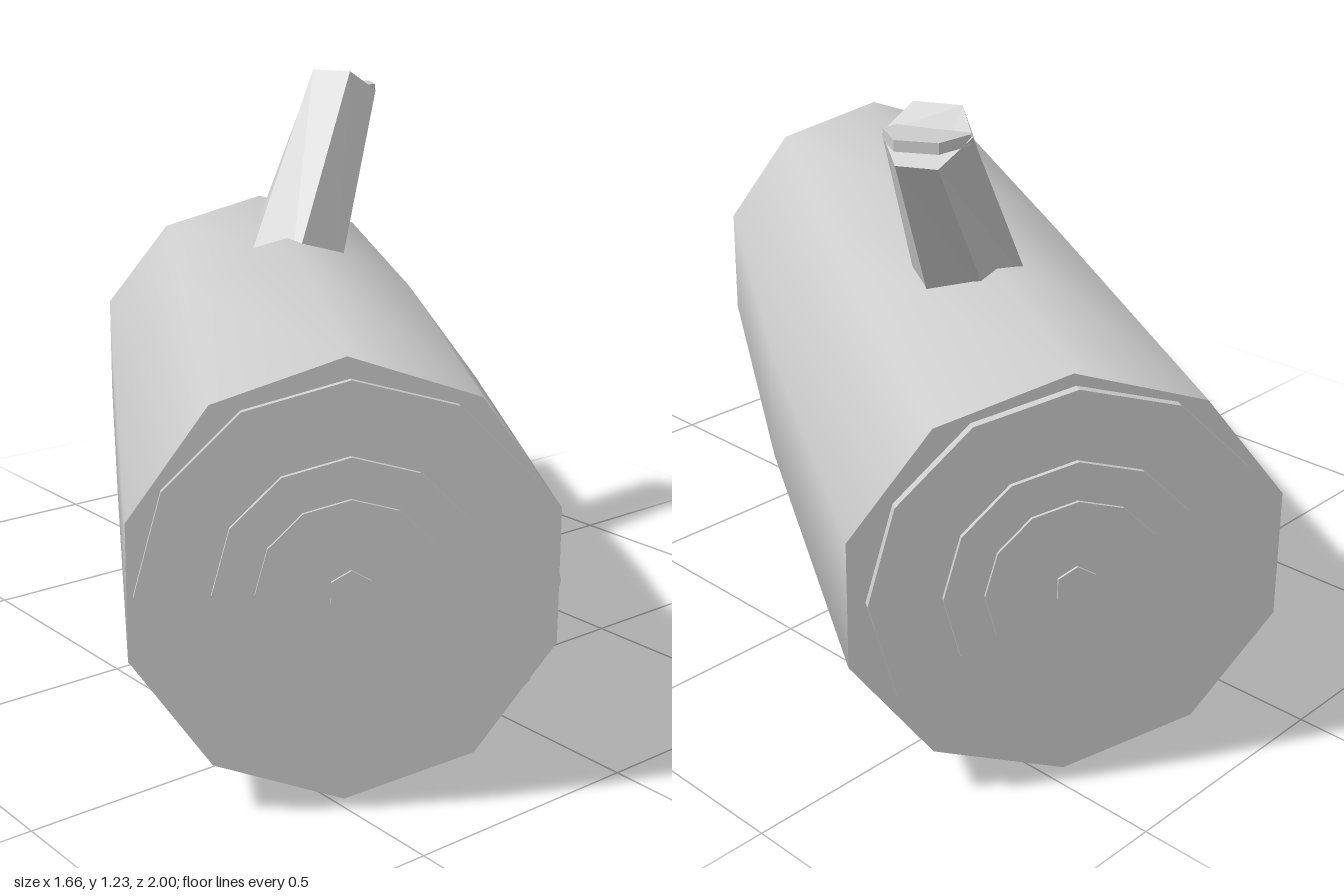
import * as THREE from 'three';

const wood = new THREE.MeshStandardMaterial({ color: 0xcccccc });
wood.name = 'plain grey wood';

// Joins equal-sized rings of points; rings run clockwise seen from the first end.
function loft(rings, flat) {
  const n = rings[0].length;
  const pos = rings.flat();
  const side = [];
  for (let r = 0; r < rings.length - 1; r++) {
    for (let i = 0; i < n; i++) {
      const a = r * n + i, b = r * n + (i + 1) % n;
      side.push(a, b, a + n, b, b + n, a + n);
    }
  }
  const caps = [];
  const last = (rings.length - 1) * n;
  for (let i = 1; i < n - 1; i++) {
    caps.push(0, i + 1, i, last, last + i, last + i + 1);
  }
  const make = (index, sharp) => {
    let g = new THREE.BufferGeometry();
    g.setAttribute('position', new THREE.Float32BufferAttribute(pos.flat(), 3));
    g.setIndex(index);
    if (sharp) g = g.toNonIndexed();
    g.computeVertexNormals();
    return g;
  };
  return [make(side, flat), make(caps, true)];
}

function addMesh(parent, geometry, name) {
  const mesh = new THREE.Mesh(geometry, wood);
  mesh.name = name;
  parent.add(mesh);
  return mesh;
}

export function createModel() {
  const model = new THREE.Group();
  model.name = 'log';

  // Trunk lies along its local z, turned in plan
  const trunk = new THREE.Group();
  trunk.name = 'trunk';
  trunk.rotation.y = -0.555;
  model.add(trunk);

  // Ten-sided trunk: [x, y, z, horizontal radius, vertical radius]
  const sections = [
    [-0.014, 0.44, 0.927, 0.411, 0.422],
    [0, 0.433, 0, 0.433, 0.433],
    [-0.003, 0.433, -0.916, 0.435, 0.413],
  ];
  const rings = sections.map(([x, y, z, rx, ry]) =>
    Array.from({ length: 10 }, (_, i) => {
      const a = (i / 10) * Math.PI * 2;
      return [x + rx * Math.sin(a), y + ry * Math.cos(a), z];
    }));
  const [bark, ends] = loft(rings, false);
  addMesh(trunk, bark, 'bark');
  addMesh(trunk, ends, 'cutEnds');

  // Stepped growth rings on both ends: [radius, sides, face distance from trunk end]
  const growth = [[0.385, 12, 0.015], [0.248, 12, 0.024], [0.172, 12, 0.03], [0.042, 6, 0.035]];
  for (const [dir, end] of [[1, 0.925], [-1, 0.919]]) {
    for (const [radius, sides, out] of growth) {
      const g = new THREE.CylinderGeometry(radius, radius, 0.05, sides).toNonIndexed();
      g.computeVertexNormals();
      g.rotateX(Math.PI / 2);
      const ring = addMesh(trunk, g, dir > 0 ? 'frontGrowthRing' : 'backGrowthRing');
      ring.position.set(-0.008, 0.437, dir * (end + out - 0.025));
    }
  }

  // Six-sided branch stub, tapering, with its root sunk into the trunk
  const top = [
    [0.335, 1.225, -0.365], [0.378, 1.225, -0.275], [0.45, 1.176, -0.263],
    [0.49, 1.134, -0.34], [0.452, 1.134, -0.415], [0.375, 1.183, -0.43],
  ];
  const base = [
    [0.06, 0.86, -0.23], [0.115, 0.85, -0.13], [0.235, 0.81, -0.123],
    [0.306, 0.81, -0.236], [0.25, 0.835, -0.338], [0.135, 0.86, -0.335],
  ];
  const root = base.map((p, i) => p.map((v, k) => v - 0.25 * (top[i][k] - v)));
  const branch = new THREE.Group();
  branch.name = 'branch';
  model.add(branch);
  const [branchSide, branchEnds] = loft([root, top], true);
  addMesh(branch, branchSide, 'branchSides');
  addMesh(branch, branchEnds, 'branchEnds');

  // Thin level disc jutting out of the slanted branch tip
  const disc = new THREE.CylinderGeometry(0.086, 0.086, 0.022, 6).toNonIndexed();
  disc.computeVertexNormals();
  disc.rotateY(Math.PI / 6);
  addMesh(branch, disc, 'branchTipDisc').position.set(0.418, 1.178, -0.352);

  return model;
}
